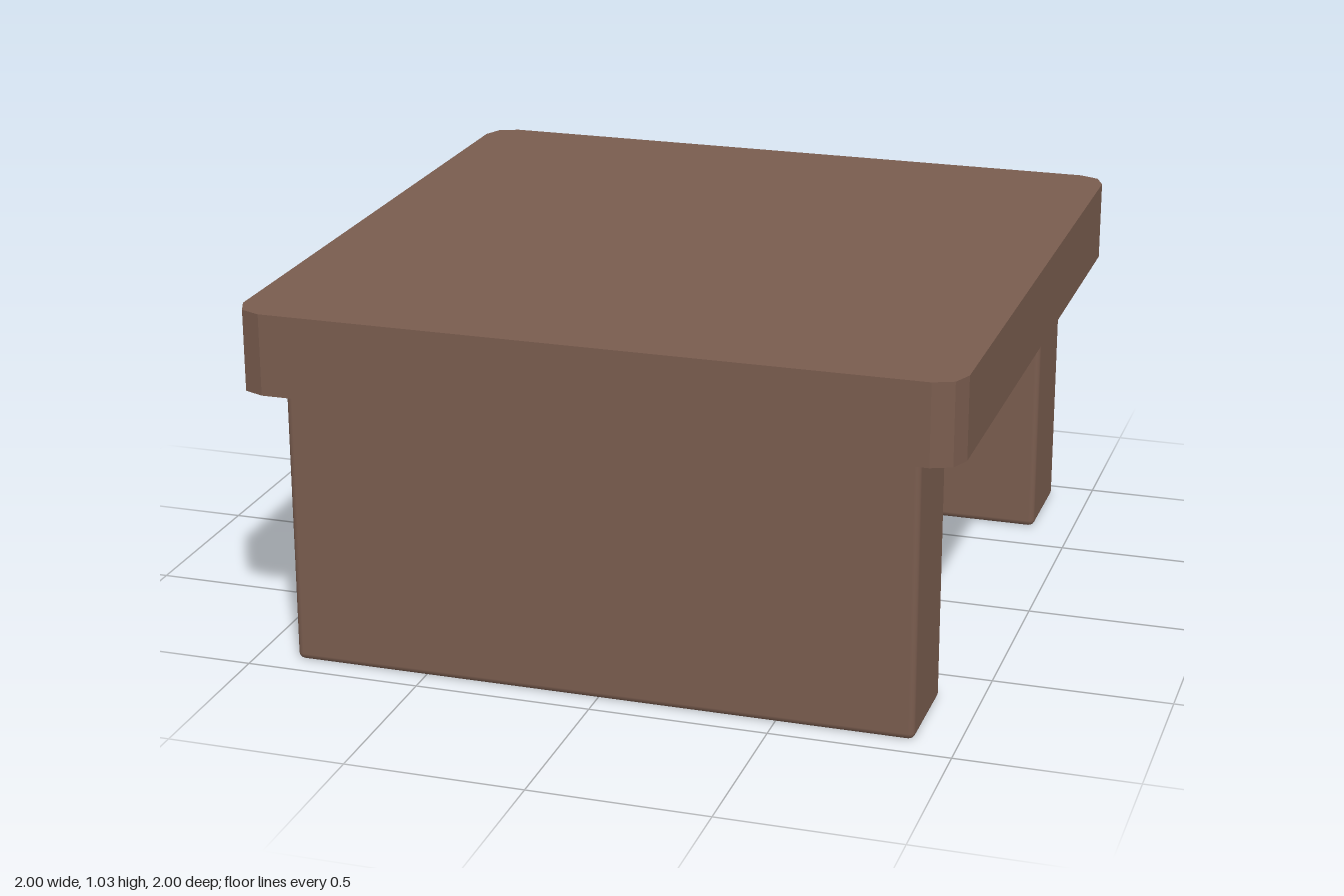
import * as THREE from 'three';
import { RoundedBoxGeometry } from 'three/addons/geometries/RoundedBoxGeometry.js';
import { toCreasedNormals } from 'three/addons/utils/BufferGeometryUtils.js';

const wood = new THREE.MeshStandardMaterial({ color: 0x795c4e });

// Square slab with softly cut vertical corners, standing on y = 0
function slabGeometry(half, r, height) {
  const shape = new THREE.Shape();
  const c = half - r;
  [[1, 1], [-1, 1], [-1, -1], [1, -1]].forEach(([sx, sy], i) => {
    for (let k = 0; k <= 2; k++) {
      const a = (i + k / 2) * Math.PI / 2;
      const x = sx * c + r * Math.cos(a), y = sy * c + r * Math.sin(a);
      if (i + k === 0) shape.moveTo(x, y);
      else shape.lineTo(x, y);
    }
  });
  shape.closePath();
  const geo = new THREE.ExtrudeGeometry(shape, { depth: height, bevelEnabled: false });
  geo.rotateX(-Math.PI / 2);
  return toCreasedNormals(geo, 0.35);
}

export function createModel() {
  const group = new THREE.Group();
  const add = (name, geometry, y, z = 0) => {
    const mesh = new THREE.Mesh(geometry, wood);
    mesh.name = name;
    mesh.position.set(0, y, z);
    group.add(mesh);
  };

  // Thick table top
  add('tableTop', slabGeometry(1, 0.08, 0.23), 0.8);

  // Apron bridging the two panel legs
  add('apron', new THREE.BoxGeometry(1.765, 0.115, 1.36), 0.7425);

  // Wide panel legs at front and back, tucked slightly into the top
  const leg = new RoundedBoxGeometry(1.765, 0.83, 0.295, 2, 0.018);
  add('frontLeg', leg, 0.415, 0.785);
  add('backLeg', leg, 0.415, -0.785);

  return group;
}
